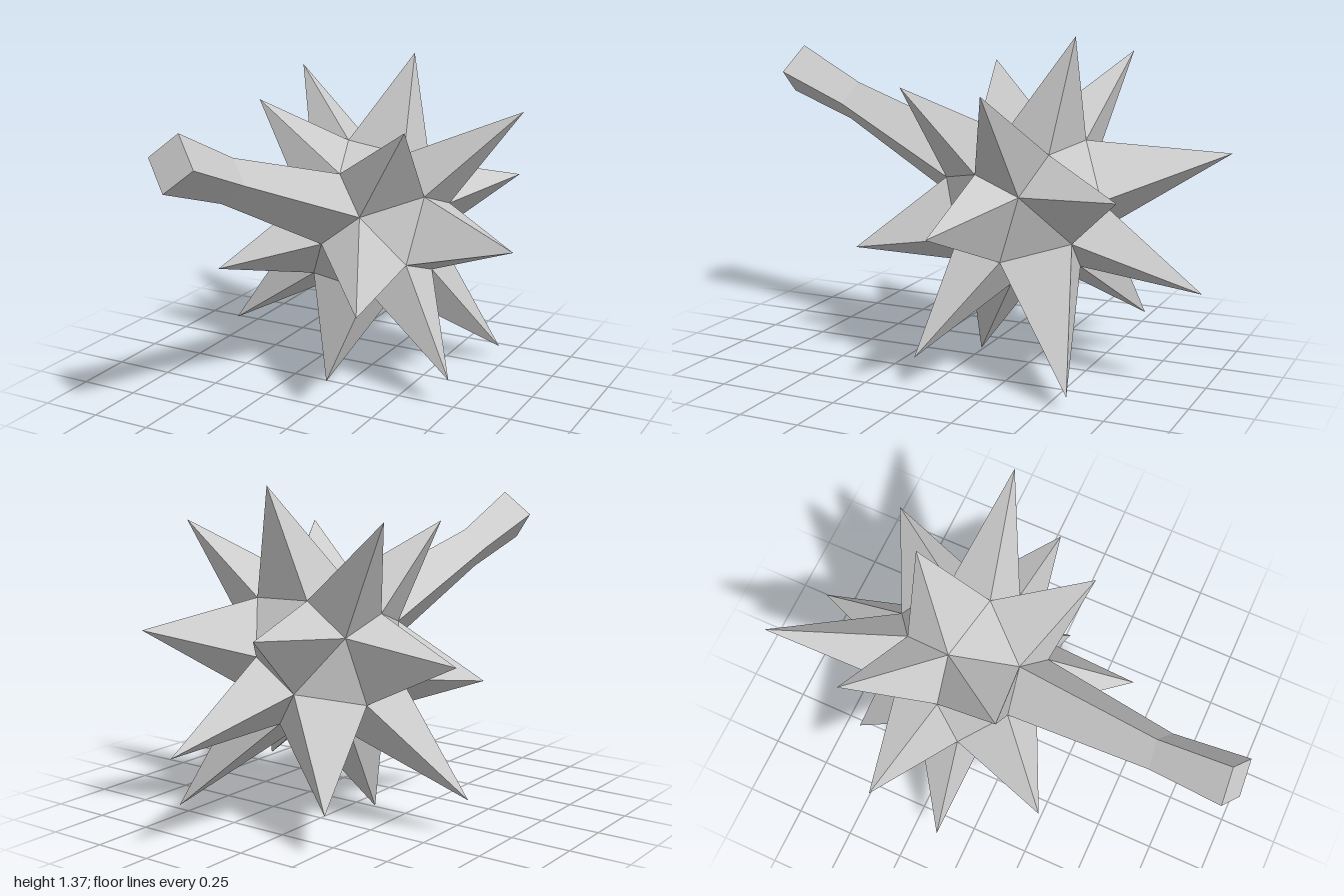
import * as THREE from 'three';

const V = (x, y, z) => new THREE.Vector3(x, y, z);

// Tilted frame of the bevelled cube at the heart of the model
const CENTRE = V(0, 0.685, -0.235);
const E3 = V(-0.135, 0.331, 0.933).normalize(); // handle direction
const E1 = V(0.78, 0.62, -0.1).addScaledVector(E3, -V(0.78, 0.62, -0.1).dot(E3)).normalize();
const E2 = new THREE.Vector3().crossVectors(E3, E1);
const INNER = 0.105, OUTER = 0.31;

const toWorld = (i, j, k) => CENTRE.clone().addScaledVector(E1, i).addScaledVector(E2, j).addScaledVector(E3, k);

// Spike points, one for each four-sided face but the handle's
const TIPS = [
  [0.085, 1.365, -0.465], [-0.49, 1.265, -0.515], [-0.365, 1.215, 0.065],
  [0.34, 1.165, 0.165], [0.64, 1.19, -0.315], [-0.695, 0.735, -0.345],
  [0.69, 0.66, -0.12], [-0.445, 0.535, 0.285], [0.265, 0.485, 0.415],
  [-0.62, 0.16, -0.12], [-0.09, 0, 0.01], [0.49, 0.13, 0.035],
  [0.465, 0.055, -0.59], [-0.32, 0.18, -0.645], [0.465, 0.81, -0.77],
  [-0.29, 0.89, -1], [0.11, 0.41, -1],
].map((p) => V(...p));

// Corners of the face pointing along (i, j, k), counter-clockwise from outside
function faceCorners(dir) {
  const points = [];
  dir.forEach((s, far) => {
    if (!s) return;
    let combos = [[]];
    dir.forEach((d, axis) => {
      const values = axis === far ? [d * OUTER] : d ? [d * INNER] : [-INNER, INNER];
      combos = combos.flatMap((c) => values.map((v) => [...c, v]));
    });
    combos.forEach((c) => points.push(toWorld(...c)));
  });
  const normal = toWorld(...dir).sub(CENTRE).normalize();
  const middle = points.reduce((m, p) => m.add(p), V(0, 0, 0)).divideScalar(points.length);
  const u = points[0].clone().sub(middle).normalize();
  const w = new THREE.Vector3().crossVectors(normal, u);
  const angle = (p) => Math.atan2(p.clone().sub(middle).dot(w), p.clone().sub(middle).dot(u));
  return points.sort((a, b) => angle(a) - angle(b));
}

// Side walls joining two matching rings
function wall(lower, upper) {
  return lower.flatMap((p, n) => {
    const m = (n + 1) % lower.length;
    return [p, lower[m], upper[m], p, upper[m], upper[n]];
  });
}

export function createModel() {
  const model = new THREE.Group();
  model.name = 'spikedStar';
  const material = new THREE.MeshStandardMaterial({ color: 0xcccccc, flatShading: true });

  const addMesh = (name, points) => {
    const geometry = new THREE.BufferGeometry().setFromPoints(points);
    geometry.computeVertexNormals();
    const mesh = new THREE.Mesh(geometry, material);
    mesh.name = name;
    model.add(mesh);
  };

  // Flat triangles left at the eight corners of the core
  const core = [];
  for (const i of [-1, 1]) for (const j of [-1, 1]) for (const k of [-1, 1]) core.push(...faceCorners([i, j, k]));
  addMesh('coreCorners', core);

  // Four-sided spikes, each on the face its point lies over
  for (const tip of TIPS) {
    const d = tip.clone().sub(CENTRE).normalize();
    const dir = [E1, E2, E3].map((e) => (Math.abs(d.dot(e)) > 0.4 ? Math.sign(d.dot(e)) : 0));
    const base = faceCorners(dir);
    addMesh('spike', base.flatMap((p, n) => [p, base[(n + 1) % base.length], tip]));
  }

  // Handle: narrows to a waist, then flares to a square end
  const root = faceCorners([0, 0, 1]);
  const rootMiddle = toWorld(0, 0, OUTER);
  const ring = (middle, half) => root.map((p) => p.clone().sub(rootMiddle).multiplyScalar(half / INNER).add(middle));
  const waist = ring(V(-0.15, 1.03, 0.65), 0.062);
  const end = ring(V(-0.185, 1.155, 0.95), 0.078);
  addMesh('handle', [
    ...wall(root, waist), ...wall(waist, end),
    end[0], end[1], end[2], end[0], end[2], end[3],
  ]);

  return model;
}
